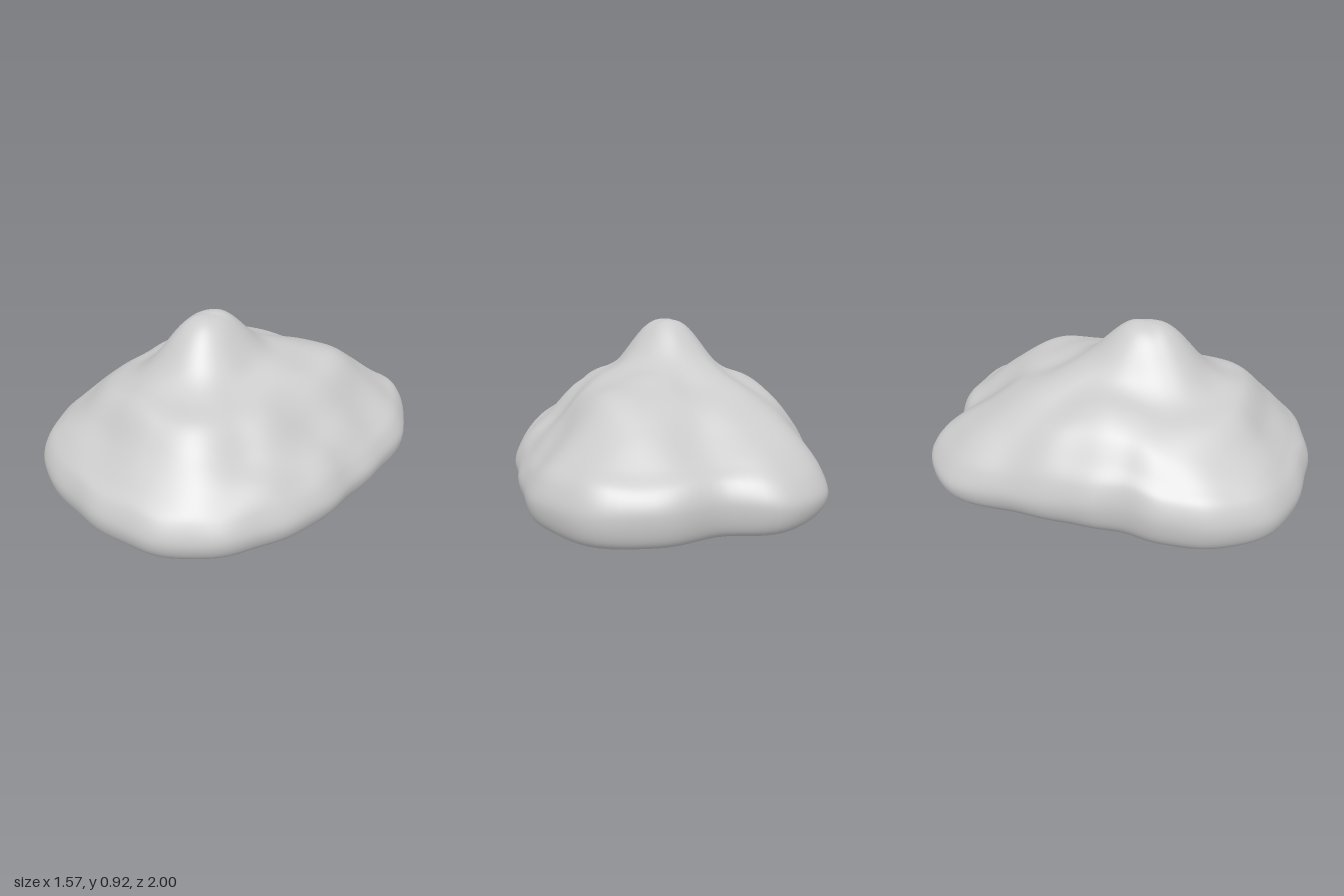
import * as THREE from 'three';

// Rock outline: radius from the peak axis every 15 degrees, from +x towards +z
const PEAK = { x: -0.05, z: 0.12 };
const OUTLINE = [
  0.835, 0.845, 0.86, 0.9, 0.92, 0.895, 0.875, 0.87, 0.895, 0.885, 0.83, 0.76,
  0.69, 0.71, 0.77, 0.885, 1.09, 1.145, 1.065, 1.155, 1.18, 1.085, 0.95, 0.86,
];
const MEAN_RADIUS = 0.9;

// Body heights, without the dome, every 30 degrees at these fractions of the radius
const STEPS = [0.15, 0.3, 0.45, 0.6, 0.75, 0.88, 0.96, 1];
const HEIGHTS = [
  [0.665, 0.66, 0.64, 0.55, 0.43, 0.34, 0.26, 0.17],
  [0.665, 0.655, 0.62, 0.56, 0.43, 0.34, 0.26, 0.17],
  [0.67, 0.665, 0.63, 0.59, 0.46, 0.35, 0.27, 0.17],
  [0.67, 0.665, 0.635, 0.6, 0.45, 0.345, 0.28, 0.18],
  [0.67, 0.665, 0.625, 0.58, 0.45, 0.36, 0.28, 0.18],
  [0.66, 0.645, 0.61, 0.56, 0.47, 0.38, 0.31, 0.21],
  [0.665, 0.65, 0.635, 0.61, 0.54, 0.42, 0.35, 0.25],
  [0.675, 0.675, 0.655, 0.62, 0.55, 0.43, 0.33, 0.22],
  [0.685, 0.705, 0.655, 0.58, 0.49, 0.38, 0.29, 0.2],
  [0.69, 0.71, 0.655, 0.59, 0.48, 0.39, 0.33, 0.24],
  [0.685, 0.7, 0.67, 0.63, 0.51, 0.39, 0.32, 0.22],
  [0.67, 0.685, 0.66, 0.6, 0.45, 0.34, 0.26, 0.18],
];

// Smooth interpolation through values spaced evenly around a circle
function around(values, turn) {
  const n = values.length;
  const f = turn * n;
  const i = Math.floor(f);
  const t = f - i;
  const [a, b, c, d] = [-1, 0, 1, 2].map((k) => values[(i + k + n) % n]);
  return b + 0.5 * t * (c - a + t * (2 * a - 5 * b + 4 * c - d + t * (3 * (b - c) + d - a)));
}

// Section from the axis, over the rim and back under to the axis
function section(turn) {
  const points = [[0, 0.67]];
  STEPS.forEach((s, k) => points.push([s, around(HEIGHTS.map((h) => h[k]), turn)]));
  // The base lifts into a thinner wedge on the -x side and a little at the back
  const lift = Math.max(0, Math.cos((turn - 0.56) * Math.PI * 2)) ** 2;
  const back = Math.max(0, -Math.sin(turn * Math.PI * 2));
  points.push([0.975, 0.09 + 0.05 * lift], [0.9, 0.036 + 0.035 * lift + 0.015 * back]);
  points.push([0.75, 0.02 + 0.015 * lift + 0.012 * back], [0.4, 0.018], [0, 0.015]);
  return new THREE.CatmullRomCurve3(points.map(([s, y]) => new THREE.Vector3(s, y, 0)));
}

// Rounded dome that rises from the body around the peak axis
function dome(x, z) {
  const d = Math.hypot((x - PEAK.x) / 0.22, (z - PEAK.z - 0.01) / 0.25);
  return 0.255 * Math.exp(-(d ** 2.8));
}

function rockGeometry(rings = 120, segments = 144) {
  const { smoothstep, lerp } = THREE.MathUtils;
  const positions = [PEAK.x, 0.67 + dome(PEAK.x, PEAK.z), PEAK.z];
  const index = [];
  const sections = [];
  for (let j = 0; j < segments; j++) sections.push(section(j / segments));

  for (let i = 1; i < rings; i++) {
    for (let j = 0; j < segments; j++) {
      const angle = (j / segments) * Math.PI * 2;
      const p = sections[j].getPoint(i / rings);
      // Rings are round near the axis and follow the rippled outline further out
      const radius = lerp(MEAN_RADIUS, around(OUTLINE, j / segments), smoothstep(p.x, 0, 0.45));
      const r = p.x * radius * (1 + 0.005 * p.x ** 6 * Math.sin(17 * angle + 1));
      const x = PEAK.x + r * Math.cos(angle);
      const z = PEAK.z + r * Math.sin(angle);
      let y = p.y;
      if (y > 0.3) y += dome(x, z);
      // Gentle weathering, stronger on the +x flank, fading at peak and base
      const fade = smoothstep(y, 0.18, 0.35) * (1 - smoothstep(y, 0.65, 0.8));
      const strength = 0.007 + 0.007 * smoothstep(x, 0.2, 0.6);
      y += fade * strength * Math.sin(13 * x + 3 * z + 1) * Math.sin(14 * z - 4 * x);
      // Shallow waves under the base
      const under = 1 - smoothstep(p.y, 0.02, 0.06);
      y += under * 0.008 * Math.sin(5 * x + 1) * Math.sin(6 * z);
      positions.push(x, Math.max(0, y), z);
    }
  }
  const last = positions.length / 3;
  positions.push(PEAK.x, 0.015, PEAK.z);

  const at = (i, j) => 1 + (i - 1) * segments + (j % segments);
  for (let j = 0; j < segments; j++) {
    index.push(0, at(1, j + 1), at(1, j));
    for (let i = 1; i < rings - 1; i++) {
      const a = at(i, j), b = at(i + 1, j), c = at(i, j + 1), d = at(i + 1, j + 1);
      index.push(a, c, b, c, d, b);
    }
    index.push(at(rings - 1, j), at(rings - 1, j + 1), last);
  }

  const geometry = new THREE.BufferGeometry();
  geometry.setAttribute('position', new THREE.Float32BufferAttribute(positions, 3));
  geometry.setIndex(index);
  geometry.computeVertexNormals();
  return geometry;
}

export function createModel() {
  const group = new THREE.Group();
  group.name = 'boulder';
  const rock = new THREE.Mesh(rockGeometry(), new THREE.MeshStandardMaterial({ color: 0xcccccc }));
  rock.name = 'rock';
  group.add(rock);
  return group;
}
